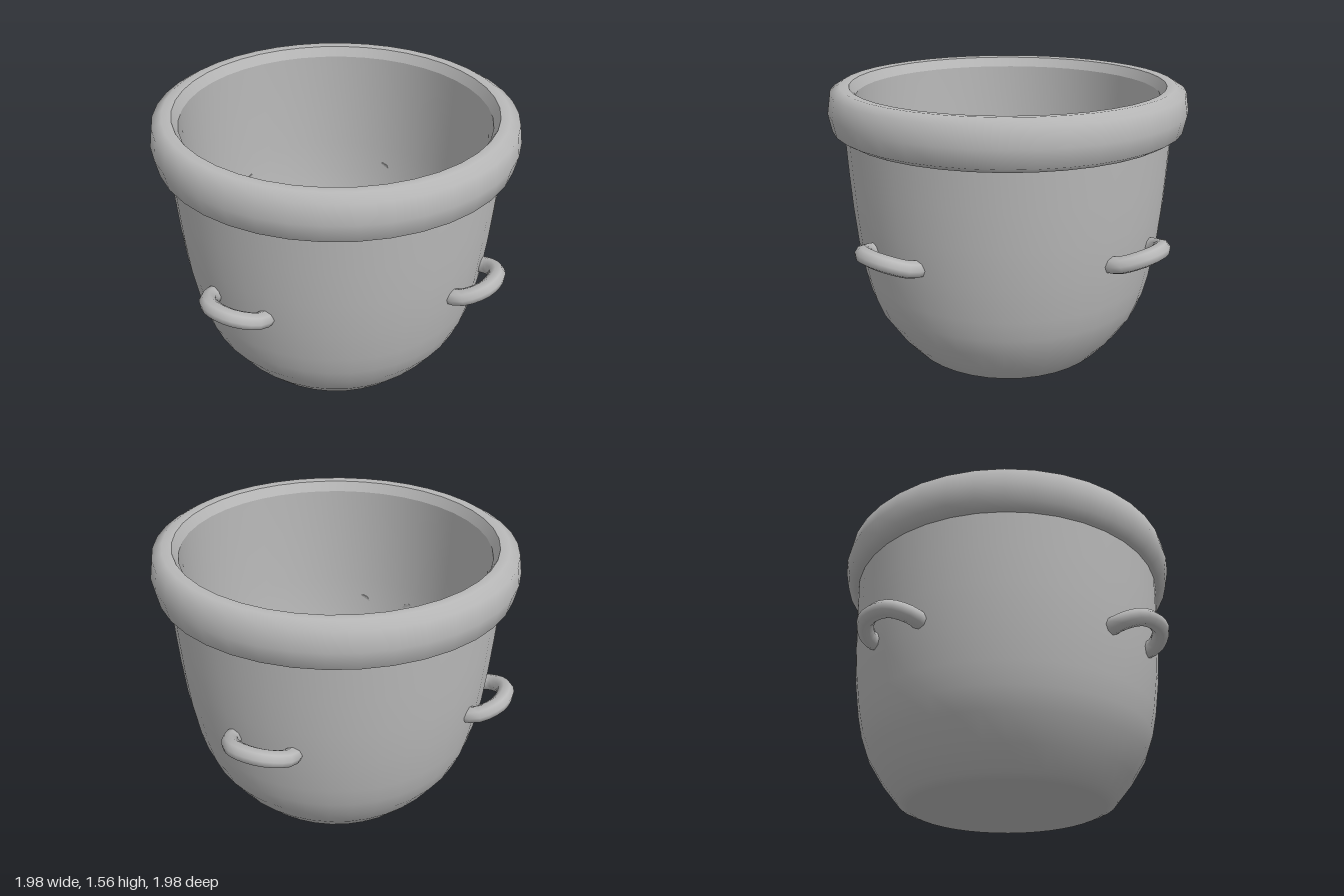
import * as THREE from 'three';

const SEGMENTS = 40;

// Surface of revolution from [radius, height] pairs
function lathe(name, profile, material) {
  const points = profile.map(([r, y]) => new THREE.Vector2(r, y));
  const mesh = new THREE.Mesh(new THREE.LatheGeometry(points, SEGMENTS), material);
  mesh.name = name;
  return mesh;
}

// Small looped handle, rising outward from the wall towards +z
function makeHandle(material) {
  const handle = new THREE.Group();
  const half = [[0.165, 0.745, 0.795], [0.167, 0.765, 0.9], [0.095, 0.797, 0.982]];
  const points = [
    ...half.map(([x, y, z]) => new THREE.Vector3(-x, y, z)),
    new THREE.Vector3(0, 0.805, 1.003),
    ...half.slice().reverse().map(([x, y, z]) => new THREE.Vector3(x, y, z)),
  ];
  const curve = new THREE.CatmullRomCurve3(points);
  const loop = new THREE.Mesh(new THREE.TubeGeometry(curve, 16, 0.046, 8), material);
  loop.name = 'handleLoop';
  handle.add(loop);

  // End caps, just showing through the inner wall
  for (const t of [0, 1]) {
    const cap = new THREE.Mesh(new THREE.CircleGeometry(0.046, 8), material);
    const outward = curve.getTangentAt(t).multiplyScalar(t === 0 ? -1 : 1);
    cap.quaternion.setFromUnitVectors(new THREE.Vector3(0, 0, 1), outward);
    cap.position.copy(curve.getPointAt(t));
    cap.name = 'handleEnd';
    handle.add(cap);
  }
  return handle;
}

export function createModel() {
  const pot = new THREE.Group();
  pot.name = 'pot';
  const grey = new THREE.MeshStandardMaterial({ color: 0xb8b8b8 });
  grey.name = 'grey';

  // Base and rounded outer wall
  pot.add(lathe('outerWall', [
    [0, 0], [0.54, 0], [0.6, 0.025], [0.69, 0.135], [0.775, 0.27], [0.815, 0.38],
    [0.842, 0.5], [0.872, 0.7], [0.888, 0.9], [0.898, 1.1], [0.905, 1.31],
  ], grey));

  // Thick rolled rim
  pot.add(lathe('rim', [
    [0.9, 1.305], [0.925, 1.308], [0.968, 1.335], [0.986, 1.43],
    [0.968, 1.53], [0.915, 1.56], [0.865, 1.555],
  ], grey));

  // Bevel between the rim and the inner wall
  pot.add(lathe('rimBevel', [[0.865, 1.555], [0.835, 1.5]], grey));

  // Inner wall and floor
  pot.add(lathe('innerWall', [
    [0.835, 1.5], [0.832, 1.31], [0.825, 1.1], [0.816, 0.9], [0.803, 0.7],
    [0.775, 0.5], [0.745, 0.38], [0.7, 0.27], [0.62, 0.14], [0.55, 0.08], [0, 0.07],
  ], grey));

  // Four handles, a quarter turn apart
  for (let i = 0; i < 4; i++) {
    const handle = makeHandle(grey);
    handle.name = 'handle' + (i + 1);
    handle.rotation.y = -Math.PI / 8 + i * Math.PI / 2;
    pot.add(handle);
  }
  return pot;
}
